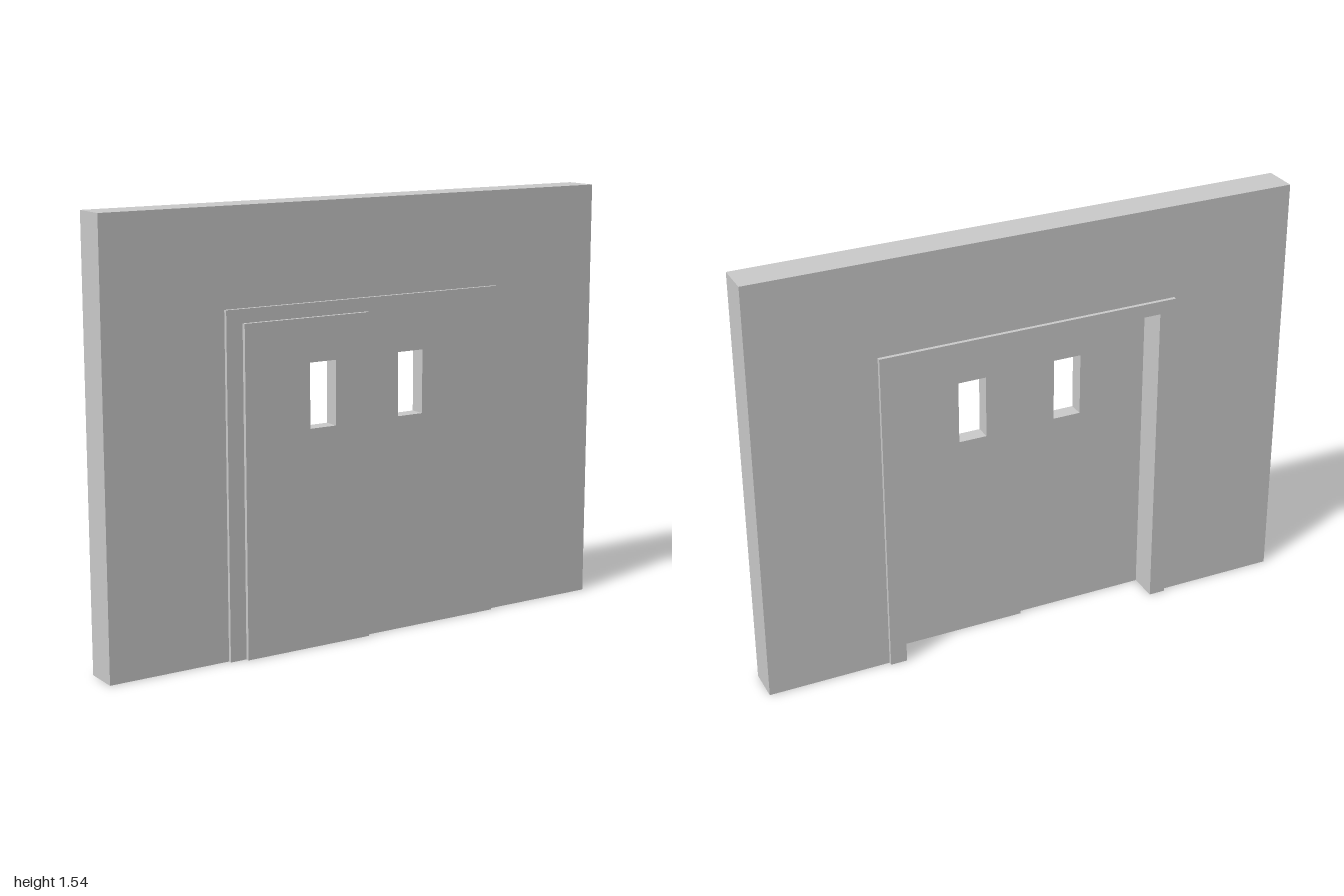
import * as THREE from 'three';

const material = new THREE.MeshStandardMaterial({ color: 0xcccccc, flatShading: true });

// Extrude a shape between two depths along z
function slab(name, shape, back, front) {
  const geometry = new THREE.ExtrudeGeometry(shape, { depth: front - back, bevelEnabled: false });
  geometry.translate(0, 0, back);
  const mesh = new THREE.Mesh(geometry, material);
  mesh.name = name;
  return mesh;
}

function polygon(points) {
  return new THREE.Shape(points.map(([x, y]) => new THREE.Vector2(x, y)));
}

// Upright portal outline, open at the floor
function portal(outerW, outerH, innerW, innerH) {
  return polygon([
    [-outerW, 0], [-innerW, 0], [-innerW, innerH], [innerW, innerH],
    [innerW, 0], [outerW, 0], [outerW, outerH], [-outerW, outerH],
  ]);
}

function rectangle(x0, y0, x1, y1) {
  return [[x0, y0], [x1, y0], [x1, y1], [x0, y1]];
}

export function createModel() {
  const group = new THREE.Group();
  group.name = 'slidingDoorWall';

  const frameW = 0.553, frameH = 1.205;
  const openW = 0.492, openH = 1.157;

  // Wall and the door frame lining its opening
  group.add(slab('wall', portal(1, 1.545, frameW, frameH), -0.069, 0.057));
  group.add(slab('doorFrame', portal(frameW, frameH, openW, openH), -0.083, 0.07));

  // Two door leaves on parallel tracks, each with an open window
  const leaves = [
    { name: 'rightDoor', x0: -openW, x1: 0, window: [-0.24, -0.137], back: 0.027, front: 0.084 },
    { name: 'leftDoor', x0: 0, x1: openW, window: [0.13, 0.233], back: 0.013, front: 0.07 },
  ];
  for (const { name, x0, x1, window: [w0, w1], back, front } of leaves) {
    const leaf = polygon(rectangle(x0, 0, x1, openH));
    leaf.holes.push(polygon(rectangle(w0, 0.776, w1, 1.004)));
    group.add(slab(name, leaf, back, front));
  }

  return group;
}
